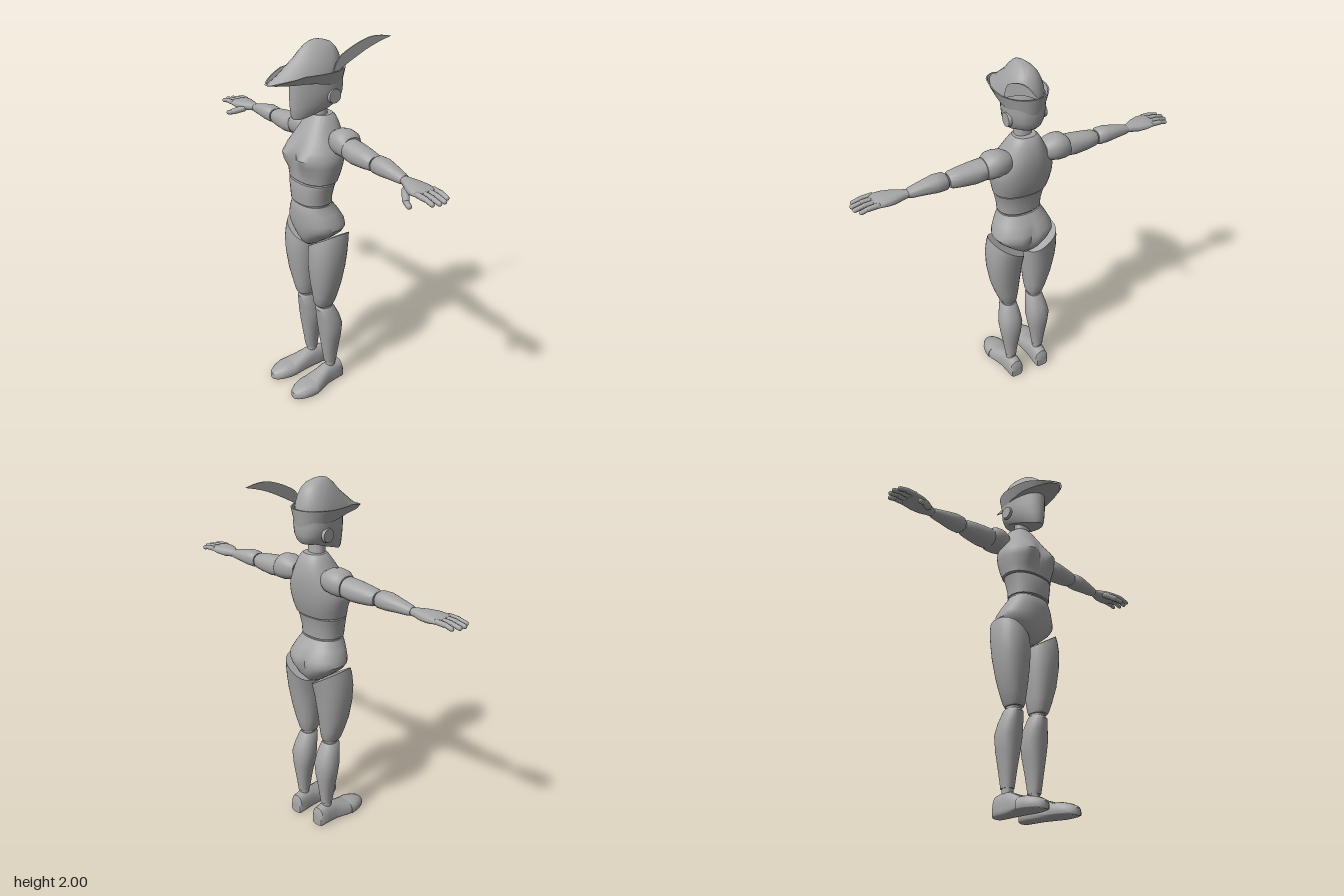
import * as THREE from 'three';
import { toCreasedNormals } from 'three/addons/utils/BufferGeometryUtils.js';

const clamp = (t) => Math.min(1, Math.max(0, t));
const bell = (t, width) => Math.exp(-((t / width) ** 2));

// Loft through rings [y, xCentre, halfWidth, zBack, zFront].
// front/back shape the two halves of the section: below 1 is boxy, above 1 is pointed.
function loft(rings, { n = 28, front = 0.85, back = 0.85, depth = 0.9, mid = 0.5, warp, caps = true, crease = 0.7 } = {}) {
  const pos = [], index = [];
  const pow = (v, e) => Math.sign(v) * Math.abs(v) ** e;
  const put = (x, y, z, r) => {
    const v = new THREE.Vector3(x, y, z);
    if (warp) warp(v, r);
    pos.push(v.x, v.y, v.z);
  };
  rings.forEach(([y, xc, hw, zb, zf], r) => {
    const zm = zb + (zf - zb) * mid;
    for (let j = 0; j < n; j++) {
      const a = (j / n) * Math.PI * 2, s = Math.sin(a), c = Math.cos(a);
      put(xc + hw * pow(c, s > 0 ? front : back), y, zm + (s > 0 ? zf - zm : zm - zb) * pow(s, depth), r);
    }
  });
  for (let i = 0; i < rings.length - 1; i++) {
    for (let j = 0; j < n; j++) {
      const k = (j + 1) % n, p = i * n, q = p + n;
      index.push(p + j, q + j, p + k, p + k, q + j, q + k);
    }
  }
  if (caps) {
    const top = rings.length - 1;
    for (const r of [0, top]) {
      const [y, xc, , zb, zf] = rings[r], c = pos.length / 3;
      put(xc, y, (zb + zf) / 2, r);
      for (let j = 0; j < n; j++) {
        const k = (j + 1) % n;
        if (r) index.push(c, r * n + k, r * n + j);
        else index.push(c, j, k);
      }
    }
  }
  const g = new THREE.BufferGeometry();
  g.setAttribute('position', new THREE.Float32BufferAttribute(pos, 3));
  g.setIndex(index);
  return toCreasedNormals(g, crease);
}

// Mirrored copy across x with corrected corner order
function mirrored(geometry) {
  const g = geometry.index ? geometry.toNonIndexed() : geometry.clone();
  g.scale(-1, 1, 1);
  for (const { array } of [g.attributes.position, g.attributes.normal]) {
    for (let i = 0; i < array.length; i += 9) {
      for (let k = 0; k < 3; k++) [array[i + 3 + k], array[i + 6 + k]] = [array[i + 6 + k], array[i + 3 + k]];
    }
  }
  return g;
}

// Rounded rod between two points
function rod(a, b, r) {
  const p = new THREE.Vector3(...a), q = new THREE.Vector3(...b), d = q.clone().sub(p);
  const g = new THREE.CapsuleGeometry(r, d.length(), 4, 10);
  g.applyQuaternion(new THREE.Quaternion().setFromUnitVectors(new THREE.Vector3(0, 1, 0), d.normalize()));
  return g.translate(...p.add(q).multiplyScalar(0.5).toArray());
}

export function createModel() {
  const model = new THREE.Group();
  model.name = 'hattedMannequin';
  const grey = new THREE.MeshStandardMaterial({ color: 0xa6a6a6 });
  grey.name = 'clay grey';
  const add = (name, geometry) => {
    const mesh = new THREE.Mesh(geometry, grey);
    mesh.name = name;
    model.add(mesh);
  };
  const pair = (name, geometry) => {
    add(name + 'Left', geometry);
    add(name + 'Right', mirrored(geometry));
  };

  // Head: jaw drops toward the chin and narrows to the front
  add('head', loft([
    [1.625, 0, 0.066, -0.075, 0.18], [1.645, 0, 0.078, -0.088, 0.187], [1.69, 0, 0.092, -0.098, 0.19],
    [1.75, 0, 0.1, -0.1, 0.192], [1.85, 0, 0.1, -0.095, 0.19],
  ], {
    mid: 0.4, warp: (v) => {
      v.y = 1.85 - (1.85 - v.y) * (0.72 + 0.28 * clamp((v.z + 0.04) / 0.2));
      v.x *= 1 - 0.3 * clamp((v.z - 0.03) / 0.16);
    },
  }));
  pair('ear', new THREE.CylinderGeometry(0.035, 0.038, 0.016, 24).rotateZ(-Math.PI / 2).translate(0.098, 1.735, 0));
  add('neck', loft([[1.58, 0, 0.052, -0.03, 0.065], [1.63, 0, 0.045, -0.015, 0.06], [1.72, 0, 0.045, -0.015, 0.06]]));

  // Hat: pointed crown, upturned brim and feather
  const brimLow = (z) => 1.777 + 0.043 * clamp((z + 0.1) / 0.24);
  const brimHigh = (z) => 1.862 - 0.04 * clamp((z - 0.17) / 0.16);
  add('hatCrown', loft([
    [1.8, 0, 0.104, -0.1, 0.325], [1.85, 0, 0.1, -0.098, 0.27], [1.88, 0, 0.094, -0.094, 0.23],
    [1.92, 0, 0.08, -0.082, 0.175], [1.955, 0, 0.062, -0.065, 0.14], [1.98, 0, 0.042, -0.04, 0.11],
    [1.994, 0, 0.022, 0, 0.085], [2, 0, 0.007, 0.03, 0.06],
  ], { front: 1.3, back: 0.95, depth: 1, mid: 0.35, warp: (v, r) => { if (r === 0) v.y = brimLow(v.z); } }));
  add('hatBrim', loft([
    [0, 0, 0.106, -0.1, 0.328], [1, 0, 0.129, -0.112, 0.332], [1, 0, 0.122, -0.105, 0.322], [0, 0, 0.098, -0.092, 0.315],
  ], {
    n: 40, front: 1.35, back: 0.95, depth: 1, mid: 0.35, caps: false,
    warp: (v) => { v.y = v.y ? brimHigh(v.z) : brimLow(v.z); },
  }));
  const plume = new THREE.Shape();
  plume.moveTo(0, 1.82);
  plume.lineTo(0.02, 1.86);
  plume.quadraticCurveTo(0.07, 1.89, 0.18, 1.94);
  plume.quadraticCurveTo(0.25, 1.968, 0.33, 1.985);
  plume.quadraticCurveTo(0.24, 2.008, 0.18, 1.993);
  plume.quadraticCurveTo(0.1, 1.972, 0.03, 1.93);
  plume.quadraticCurveTo(0, 1.9, -0.01, 1.86);
  const feather = new THREE.ExtrudeGeometry(plume, { depth: 0.006, bevelEnabled: false, curveSegments: 8 });
  feather.rotateY(Math.PI / 2);
  const fp = feather.attributes.position;
  for (let i = 0; i < fp.count; i++) fp.setX(i, fp.getX(i) + 0.1 - fp.getZ(i) * 0.05);
  feather.computeVertexNormals();
  add('feather', feather);

  // Torso: chest, abdomen, pelvis and the narrower joints between
  add('chest', loft([
    [1.295, 0, 0.148, -0.045, 0.163], [1.34, 0, 0.158, -0.062, 0.165], [1.39, 0, 0.17, -0.074, 0.178],
    [1.43, 0, 0.172, -0.08, 0.183], [1.47, 0, 0.156, -0.085, 0.167], [1.51, 0, 0.132, -0.086, 0.145],
    [1.55, 0, 0.111, -0.083, 0.122], [1.59, 0, 0.09, -0.072, 0.095], [1.618, 0, 0.073, -0.058, 0.075],
    [1.63, 0, 0.06, -0.045, 0.065],
  ], {
    n: 40, warp: (v) => {
      if (v.z < 0.05) return;
      const level = bell(v.y - 1.425, 0.06);
      v.z += level * (0.022 * bell(Math.abs(v.x) - 0.08, 0.045) - 0.018 * bell(v.x, 0.03));
    },
  }));
  add('waistJoint', loft([[1.15, 0, 0.11, -0.01, 0.15], [1.3, 0, 0.128, -0.025, 0.15]]));
  add('abdomen', loft([
    [1.17, 0, 0.12, -0.02, 0.165], [1.21, 0, 0.123, -0.022, 0.168], [1.26, 0, 0.135, -0.03, 0.168], [1.285, 0, 0.142, -0.036, 0.164],
  ]));
  add('pelvis', loft([
    [0.9, 0, 0.012, 0, 0.1], [0.92, 0, 0.045, -0.035, 0.125], [0.96, 0, 0.1, -0.07, 0.145],
    [1.0, 0, 0.148, -0.085, 0.156], [1.03, 0, 0.17, -0.09, 0.161], [1.06, 0, 0.167, -0.084, 0.164],
    [1.11, 0, 0.143, -0.055, 0.166], [1.145, 0, 0.123, -0.03, 0.163], [1.16, 0, 0.118, -0.02, 0.157],
  ], {
    n: 40, warp: (v) => { if (v.z < -0.02) v.z += 0.02 * bell(v.x, 0.02) * bell(v.y - 1.02, 0.06); },
  }));

  // Legs
  pair('thigh', loft([
    [0.545, 0.085, 0.043, 0.002, 0.103], [0.56, 0.087, 0.05, -0.006, 0.112], [0.62, 0.094, 0.066, -0.017, 0.122],
    [0.7, 0.102, 0.082, -0.03, 0.137], [0.79, 0.108, 0.094, -0.046, 0.148], [0.86, 0.109, 0.097, -0.058, 0.152],
    [0.92, 0.104, 0.095, -0.07, 0.148], [0.955, 0.1, 0.091, -0.077, 0.142],
  ], { warp: (v) => { v.y += (v.x - 0.1) * 0.65 * clamp((v.y - 0.7) / 0.25); } }));
  pair('kneeJoint', loft([[0.51, 0.085, 0.036, 0.008, 0.085], [0.57, 0.085, 0.036, 0.01, 0.09]]));
  pair('shin', loft([
    [0.137, 0.092, 0.031, -0.023, 0.048], [0.16, 0.092, 0.033, -0.025, 0.053], [0.24, 0.092, 0.044, -0.036, 0.064],
    [0.32, 0.091, 0.058, -0.048, 0.075], [0.4, 0.09, 0.069, -0.052, 0.084], [0.46, 0.088, 0.06, -0.036, 0.092],
    [0.52, 0.086, 0.048, -0.006, 0.1], [0.532, 0.085, 0.041, 0.002, 0.092],
  ]));
  pair('ankleJoint', loft([[0.1, 0.092, 0.027, -0.015, 0.042], [0.15, 0.092, 0.027, -0.015, 0.042]]));

  // Shoes are lofted heel to toe, then tipped so depth becomes height
  const shoe = { front: 0.45, back: 0.8, depth: 0.75, mid: 0.75 };
  pair('shoe', loft([
    [-0.062, 0.088, 0.034, -0.085, 0], [-0.052, 0.088, 0.042, -0.112, 0], [0, 0.09, 0.045, -0.122, 0],
    [0.05, 0.093, 0.047, -0.116, 0], [0.09, 0.098, 0.054, -0.1, 0], [0.14, 0.104, 0.065, -0.083, 0], [0.17, 0.105, 0.068, -0.073, 0],
  ], shoe).rotateX(Math.PI / 2));
  pair('toeCap', loft([
    [0.155, 0.106, 0.07, -0.076, 0], [0.2, 0.107, 0.068, -0.074, 0], [0.245, 0.108, 0.055, -0.062, 0],
    [0.275, 0.108, 0.037, -0.048, 0], [0.288, 0.108, 0.018, -0.036, 0],
  ], shoe).rotateX(Math.PI / 2));

  // Arms are lofted upright, then laid along x (local x becomes -y)
  const arm = (name, rings) => pair(name, loft(rings.map(([x, y, ...rest]) => [x, -y, ...rest])).rotateZ(-Math.PI / 2));
  arm('shoulder', [
    [0.1, 1.515, 0.045, -0.055, 0.04], [0.13, 1.518, 0.06, -0.075, 0.058], [0.17, 1.518, 0.068, -0.08, 0.065],
    [0.21, 1.515, 0.066, -0.078, 0.064], [0.235, 1.505, 0.054, -0.064, 0.054],
  ]);
  arm('upperArm', [
    [0.225, 1.5, 0.045, -0.05, 0.052], [0.235, 1.5, 0.053, -0.058, 0.06], [0.29, 1.495, 0.054, -0.058, 0.062],
    [0.36, 1.493, 0.048, -0.05, 0.056], [0.41, 1.492, 0.041, -0.042, 0.05], [0.423, 1.492, 0.033, -0.034, 0.043],
  ]);
  arm('elbowJoint', [[0.4, 1.492, 0.028, -0.024, 0.036], [0.46, 1.492, 0.028, -0.024, 0.036]]);
  arm('forearm', [
    [0.43, 1.492, 0.034, -0.033, 0.044], [0.442, 1.493, 0.043, -0.04, 0.052], [0.49, 1.494, 0.043, -0.043, 0.054],
    [0.55, 1.49, 0.034, -0.033, 0.046], [0.615, 1.484, 0.025, -0.022, 0.037], [0.63, 1.483, 0.02, -0.018, 0.032],
  ]);
  arm('palm', [
    [0.62, 1.483, 0.017, -0.014, 0.029], [0.655, 1.482, 0.022, -0.018, 0.043], [0.695, 1.48, 0.026, -0.03, 0.068],
    [0.74, 1.481, 0.024, -0.037, 0.084], [0.785, 1.483, 0.017, -0.037, 0.087], [0.8, 1.483, 0.011, -0.034, 0.084],
  ]);
  const fingers = [[-0.023, 0.866], [0.01, 0.886], [0.043, 0.889], [0.074, 0.876]];
  fingers.forEach(([z, tip], i) => {
    const bend = (0.785 + tip) / 2 + 0.005;
    pair(`finger${i + 1}Base`, rod([0.785, 1.485, z], [bend, 1.483, z], 0.0135));
    pair(`finger${i + 1}Tip`, rod([bend + 0.008, 1.482, z], [tip, 1.474, z], 0.0115));
  });
  pair('thumbBase', rod([0.69, 1.468, 0.055], [0.735, 1.447, 0.093], 0.018));
  pair('thumbTip', rod([0.742, 1.442, 0.098], [0.772, 1.434, 0.107], 0.0135));

  return model;
}
